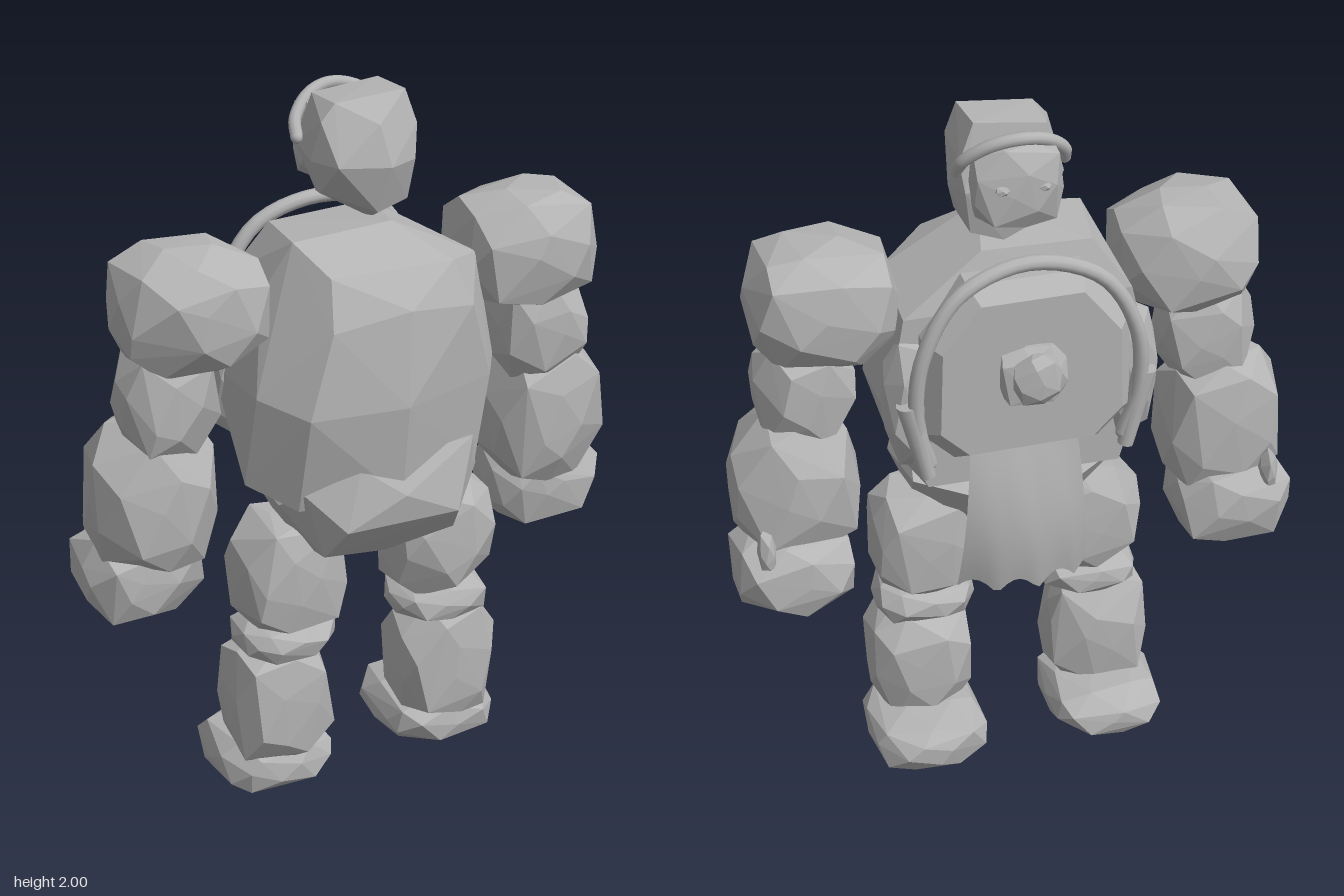
import * as THREE from 'three';
import { ConvexGeometry } from 'three/addons/geometries/ConvexGeometry.js';

const stone = new THREE.MeshStandardMaterial({ color: 0xb4b4b4, side: THREE.DoubleSide });
stone.name = 'stone grey';

// Small repeatable random generator
function seeded(seed) {
  let s = seed * 7919 + 13;
  return () => (s = (s * 16807) % 2147483647) / 2147483647;
}

function mesh(name, geometry) {
  const m = new THREE.Mesh(geometry, stone);
  m.name = name;
  return m;
}

// Faceted boulder filling the box between lo and hi; power sets how blocky it is
function rock(name, lo, hi, seed, power = 3.6, count = 34) {
  const rand = seeded(seed);
  rand();
  const points = [];
  const spin = rand() * 6;
  for (let i = 0; i < count; i++) {
    const y = 1 - (2 * (i + 0.5)) / count;
    const r = Math.sqrt(1 - y * y);
    const a = i * 2.39996 + spin;
    const p = new THREE.Vector3(
      r * Math.cos(a) + (rand() - 0.5) * 0.3,
      y + (rand() - 0.5) * 0.2,
      r * Math.sin(a) + (rand() - 0.5) * 0.3
    );
    const len = Math.pow(
      Math.abs(p.x) ** power + Math.abs(p.y) ** power + Math.abs(p.z) ** power, 1 / power);
    points.push(p.divideScalar(len));
  }
  const box = new THREE.Box3().setFromPoints(points);
  const size = box.getSize(new THREE.Vector3());
  for (const p of points) {
    p.sub(box.min).divide(size);
    p.set(
      lo[0] + p.x * (hi[0] - lo[0]),
      lo[1] + p.y * (hi[1] - lo[1]),
      lo[2] + p.z * (hi[2] - lo[2])
    );
  }
  return mesh(name, new ConvexGeometry(points));
}

function hull(name, points) {
  return mesh(name, new ConvexGeometry(points.map((p) => new THREE.Vector3(...p))));
}

function tube(name, points, radius) {
  const curve = new THREE.CatmullRomCurve3(points.map((p) => new THREE.Vector3(...p)));
  const group = new THREE.Group();
  group.name = name;
  group.add(mesh(name + 'Band', new THREE.TubeGeometry(curve, 40, radius, 10)));
  for (const p of [points[0], points[points.length - 1]]) {
    const end = mesh(name + 'End', new THREE.SphereGeometry(radius, 10, 8));
    end.position.set(...p);
    group.add(end);
  }
  return group;
}

function createTorso() {
  const g = new THREE.Group();
  g.name = 'torso';
  g.add(hull('trunk', [
    [-0.23, 1.65, 0.1], [0.05, 1.67, 0.12], [-0.2, 1.64, -0.1], [0.1, 1.65, -0.1],
    [-0.3, 1.5, 0.05], [0.32, 1.53, 0.1], [-0.18, 1.58, 0.22], [0.18, 1.57, 0.22],
    [-0.2, 1.45, 0.27], [0.02, 1.48, 0.29], [0.22, 1.45, 0.26],
    [-0.3, 1.5, -0.14], [0.32, 1.5, -0.14],
    [-0.36, 1.25, 0.14], [-0.27, 1.22, 0.275], [0, 1.22, 0.315], [0.3, 1.22, 0.22],
    [0.38, 1.22, 0.1], [0.37, 1.22, -0.14], [-0.36, 1.25, -0.14],
    [-0.37, 0.98, 0.08], [-0.27, 0.93, 0.2], [0, 0.94, 0.28], [0.27, 0.96, 0.2],
    [0.31, 0.97, 0.05], [0.26, 0.96, -0.13], [-0.28, 0.95, -0.13],
  ]));
  g.add(hull('pelvis', [
    [-0.12, 1.05, 0.27], [0.24, 1.06, 0.24], [-0.3, 0.93, 0.14], [-0.26, 0.98, 0.22],
    [0.31, 0.92, 0.14], [0, 0.96, 0.305], [-0.17, 0.88, 0.29], [0.17, 0.87, 0.29],
    [-0.2, 0.78, 0.21], [0, 0.74, 0.18], [0.2, 0.78, 0.21], [0.26, 0.8, 0.08],
    [-0.24, 0.8, 0.08], [-0.13, 0.75, -0.04], [0.13, 0.75, -0.04],
    [-0.29, 0.95, -0.08], [0.29, 0.95, -0.08], [-0.15, 0.93, -0.16], [0.15, 0.93, -0.16],
  ]));

  // Bevelled chest slab
  const outline = [[-0.2, 1.08], [0.2, 1.08], [0.29, 1.17], [0.28, 1.45],
    [0.16, 1.6], [-0.16, 1.6], [-0.28, 1.45], [-0.29, 1.17]];
  const slab = [];
  for (const [z, k] of [[-0.1, 1], [-0.18, 1], [-0.235, 0.86]])
    for (const [x, y] of outline) slab.push([x * k, 1.34 + (y - 1.34) * k, z]);
  g.add(hull('chestSlab', slab));

  // Chest stone on a raised base
  g.add(rock('chestStoneBase', [-0.09, 1.26, -0.275], [0.09, 1.43, -0.2], 8, 5, 26));
  g.add(rock('chestStone', [-0.065, 1.28, -0.32], [0.065, 1.42, -0.23], 9, 3.5, 26));

  g.add(tube('necklace', [
    [-0.27, 1.08, -0.185], [-0.305, 1.22, -0.2], [-0.29, 1.42, -0.215], [-0.19, 1.59, -0.21],
    [0, 1.65, -0.195], [0.19, 1.59, -0.21], [0.29, 1.42, -0.215], [0.305, 1.22, -0.2],
    [0.27, 1.08, -0.185],
  ], 0.021));
  for (const s of [-1, 1]) {
    g.add(rock('sideRib', [s * 0.305 - 0.07, 1.05, -0.19], [s * 0.305 + 0.07, 1.44, -0.04], 12 + s, 3.4, 26));
    // Tapered tassel where the necklace hangs down
    const tassel = mesh('necklaceTassel', new THREE.CylinderGeometry(0.034, 0.022, 0.24, 12));
    tassel.position.set(s * 0.3, 1.16, -0.19);
    tassel.rotation.z = -s * 0.2;
    g.add(tassel);
  }
  return g;
}

// Broad curved cloth with a ragged lower hem
function createLoincloth() {
  const geo = new THREE.PlaneGeometry(1, 1, 20, 12);
  const p = geo.attributes.position;
  for (let i = 0; i < p.count; i++) {
    const u = p.getX(i) * 2;
    const t = 0.5 - p.getY(i);
    const hem = 0.625 + 0.045 * Math.abs(Math.sin(u * 5 + 0.9));
    p.setXYZ(i,
      0.01 + u * (0.15 + 0.035 * t),
      1.1 + (hem - 1.1) * t,
      -0.195 - 0.045 * Math.sin(t * 2.4) + 0.055 * u * u * t);
  }
  geo.computeVertexNormals();
  return mesh('loincloth', geo);
}

function createHead() {
  const g = new THREE.Group();
  g.name = 'head';
  g.add(hull('skull', [
    [-0.08, 1.985, 0.05], [0.12, 2, 0.06], [0.11, 2, -0.07], [-0.08, 1.98, -0.08],
    [-0.12, 1.94, 0.05], [0.02, 1.93, 0.11], [0.145, 1.91, 0.08], [0.15, 1.9, -0.08],
    [-0.135, 1.83, 0.02], [-0.1, 1.83, 0.11], [0.04, 1.82, 0.14], [0.13, 1.82, 0.1],
    [0.16, 1.8, 0], [-0.12, 1.85, -0.1], [0.14, 1.82, -0.1],
    [-0.11, 1.74, 0.02], [0.02, 1.69, 0.1], [0.13, 1.7, 0.06], [0.04, 1.65, 0.02],
    [0.12, 1.69, -0.07], [-0.07, 1.71, -0.08], [0.03, 1.655, -0.07],
  ]));
  g.add(rock('face', [-0.11, 1.73, -0.19], [0.13, 1.96, -0.03], 22, 4.2, 34));
  g.add(tube('headband', [
    [-0.132, 1.87, -0.065], [-0.122, 1.91, -0.095], [-0.065, 1.96, -0.13],
    [0.01, 1.978, -0.145], [0.085, 1.96, -0.13], [0.145, 1.91, -0.095], [0.153, 1.87, -0.065],
  ], 0.017));
  for (const x of [-0.045, 0.065])
    g.add(rock('eye', [x - 0.018, 1.845, -0.195], [x + 0.018, 1.87, -0.165], 24, 2, 16));
  return g;
}

// Adds rocks mirrored by side: +1 is the model's left, -1 its right
function createLimb(name, side, parts) {
  const g = new THREE.Group();
  g.name = (side > 0 ? 'left' : 'right') + name;
  for (const [part, a, b, y0, y1, z0, z1, seed, power, count] of parts)
    g.add(rock(part, [Math.min(side * a, side * b), y0, z0],
      [Math.max(side * a, side * b), y1, z1], seed + side, power, count));
  return g;
}

const ARM = [
  ['shoulder', 0.3, 0.7, 1.34, 1.67, -0.15, 0.21, 31, 3.4, 36],
  ['upperArm', 0.43, 0.7, 1.1, 1.42, -0.12, 0.14, 34, 4, 34],
  ['forearm', 0.435, 0.78, 0.76, 1.2, -0.165, 0.14, 37, 3.6, 36],
  ['hand', 0.47, 0.795, 0.62, 0.86, -0.205, 0.085, 40, 4.6, 36],
  ['thumb', 0.69, 0.74, 0.78, 0.92, -0.19, -0.12, 43, 2.4, 20],
];

const LEG = [
  ['thigh', 0.085, 0.385, 0.52, 0.86, -0.09, 0.18, 51, 5, 38],
  ['knee', 0.1, 0.385, 0.43, 0.55, -0.08, 0.165, 54, 3.6, 32],
  ['shin', 0.12, 0.41, 0.1, 0.47, -0.1, 0.16, 57, 5, 38],
  ['foot', 0.1, 0.435, 0, 0.16, -0.23, 0.14, 60, 3.6, 38],
];

export function createModel() {
  const model = new THREE.Group();
  model.name = 'stoneGiant';
  model.add(createTorso(), createLoincloth(), createHead());
  for (const side of [-1, 1])
    model.add(createLimb('Arm', side, ARM), createLimb('Leg', side, LEG));
  return model;
}
